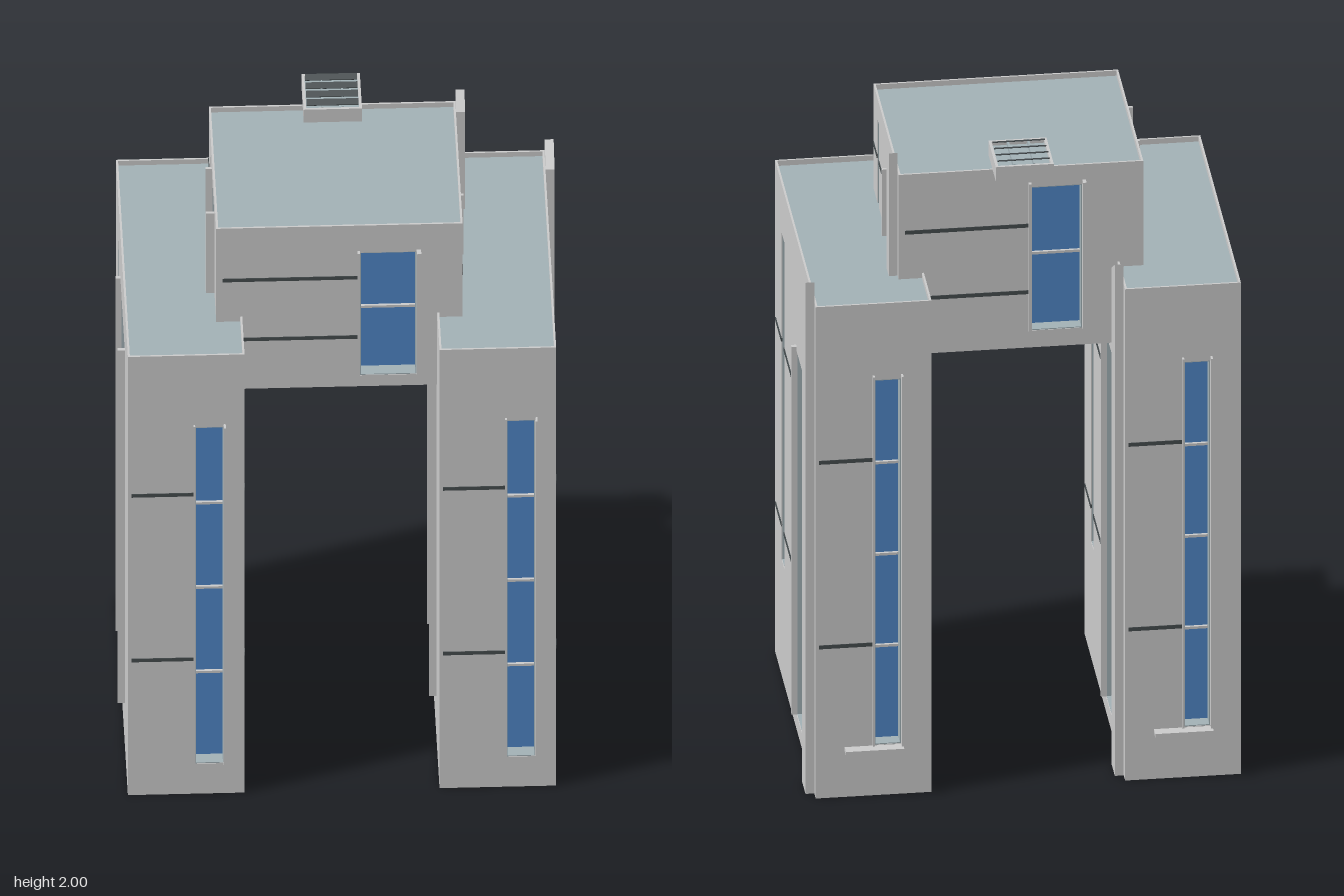
import * as THREE from 'three';

const wallMat = new THREE.MeshStandardMaterial({ color: 0xcccccc });
const roofMat = new THREE.MeshStandardMaterial({ color: 0xa2b1b6 });
const glassMat = new THREE.MeshStandardMaterial({ color: 0x4f86c6 });
const darkMat = new THREE.MeshStandardMaterial({ color: 0x454c4e });
const DEPTH = 0.05; // window recess
const RIM = 0.006; // parapet thickness
const RIM_H = 0.02;

function add(parent, name, geometry, material, x = 0, y = 0, z = 0) {
  const mesh = new THREE.Mesh(geometry, material);
  mesh.name = name;
  mesh.position.set(x, y, z);
  parent.add(mesh);
  return mesh;
}

// Box given by its limits
function block(parent, name, mat, x0, x1, y0, y1, z0, z1) {
  return add(parent, name, new THREE.BoxGeometry(x1 - x0, y1 - y0, z1 - z0), mat,
    (x0 + x1) / 2, (y0 + y1) / 2, (z0 + z1) / 2);
}

const polygon = (pts) => new THREE.Shape(pts.map(([x, y]) => new THREE.Vector2(x, y)));
const rect = (x0, x1, y0, y1) => polygon([[x0, y0], [x1, y0], [x1, y1], [x0, y1]]);
const extrude = (shape, depth) => new THREE.ExtrudeGeometry(shape, { depth, bevelEnabled: false });

// One wall in its own frame: x to the right seen from outside, z = 0 is the outer surface
function makeWall(spec, half, y0, y1) {
  const wall = new THREE.Group();
  const panel = rect(-half, half, y0, y1);
  for (const [a, b, c, d, mullions] of spec.windows) {
    panel.holes.push(rect(a, b, c, d));
    // Recess lining
    const lining = rect(a, b, c, d);
    lining.holes.push(rect(a + 0.003, b - 0.003, c + 0.003, d - 0.003));
    add(wall, 'windowLining', extrude(lining, DEPTH - 0.002), roofMat, 0, 0, -DEPTH);
    block(wall, 'windowGlass', glassMat, a, b, c, d, -DEPTH, -DEPTH + 0.008);
    for (const y of mullions) {
      block(wall, 'windowMullion', wallMat, a, b, y - 0.004, y + 0.004, -DEPTH, -DEPTH + 0.016);
    }
  }
  add(wall, 'wallPanel', extrude(panel, DEPTH), wallMat, 0, 0, -DEPTH);
  // Upright posts beside the windows
  for (const [a, b, c, d, out] of spec.posts) {
    block(wall, 'windowPost', wallMat, a, b, c, d, -0.01, out);
  }
  // Dark joint lines, interrupted by the narrow window
  const [from, to] = spec.joints;
  const gap = spec.windows.find((w) => w[0] > from && w[1] < to);
  const runs = gap ? [[from, gap[0]], [gap[1], to]] : [[from, to]];
  for (const y of spec.jointHeights) {
    for (const [a, b] of runs) block(wall, 'jointLine', darkMat, a, b, y - 0.006, y + 0.006, -0.01, 0.002);
  }
  // Tall fin with a slanted top
  if (spec.fin) {
    const [a, b, low, high] = spec.fin;
    add(wall, 'cornerFin', extrude(polygon([[a, y0], [b, y0], [b, high], [a, low]]), 0.026), wallMat);
  }
  if (spec.ledge) {
    const [a, b, c, d, out] = spec.ledge;
    block(wall, 'windowLedge', wallMat, a, b, c, d, -0.01, out);
  }
  return wall;
}

// Flat-roofed volume with four detailed walls
function makeVolume(name, w, d, y0, y1, walls, jointHeights) {
  const group = new THREE.Group();
  group.name = name;
  const top = y1 - RIM_H;
  block(group, 'core', wallMat, -w / 2 + DEPTH, w / 2 - DEPTH, y0, top, -d / 2 + DEPTH, d / 2 - DEPTH);
  ['front', 'right', 'back', 'left'].forEach((side, i) => {
    const across = i % 2 === 0;
    const wall = makeWall({ ...walls[side], jointHeights }, across ? w / 2 : d / 2 - DEPTH, y0, top);
    wall.name = side + 'Wall';
    wall.rotation.y = i * Math.PI / 2;
    wall.position.set([0, w / 2, 0, -w / 2][i], 0, [d / 2, 0, -d / 2, 0][i]);
    group.add(wall);
  });
  // Roof and parapet
  block(group, 'roof', roofMat, -w / 2 + RIM, w / 2 - RIM, top - 0.002, top + 0.003, -d / 2 + RIM, d / 2 - RIM);
  const ring = rect(-w / 2, w / 2, -d / 2, d / 2);
  ring.holes.push(rect(-w / 2 + RIM, w / 2 - RIM, -d / 2 + RIM, d / 2 - RIM));
  add(group, 'parapet', extrude(ring, RIM_H), wallMat, 0, top, 0).rotation.x = -Math.PI / 2;
  group.children.at(-1).position.y = top;
  return group;
}

const towerWalls = {
  front: {
    windows: [[0.025, 0.11, 0.11, 1.345, [0.42, 0.73, 1.04]]],
    posts: [[0.021, 0.026, 0.11, 1.355, 0.01], [0.109, 0.115, 0.11, 1.355, 0.02]],
    joints: [-0.16, 0.021],
  },
  right: {
    windows: [[-0.316, -0.255, 0.38, 1.45, [0.745, 1.1]], [0.031, 0.358, 0.05, 1.24, [0.355, 0.65, 0.95]]],
    posts: [[0.017, 0.031, 0.05, 1.255, 0.015]],
    joints: [-0.451, 0.017],
    fin: [0.358, 0.438, 1.625, 1.675],
  },
  back: {
    windows: [[0.003, 0.08, 0.165, 1.36, [0.47, 0.77, 1.07]]],
    posts: [[-0.003, 0.003, 0.165, 1.375, 0.012], [0.08, 0.086, 0.165, 1.375, 0.02]],
    joints: [-0.16, -0.003],
    ledge: [-0.085, 0.086, 0.15, 0.163, 0.032],
  },
  left: {
    windows: [[-0.306, -0.25, 0.38, 1.45, [0.745, 1.1]], [-0.1, 0.232, 0.17, 1.445, [0.49, 0.81, 1.12]]],
    posts: [[-0.112, -0.1, 0.165, 1.46, 0.015], [0.232, 0.245, 0.165, 1.46, 0.022]],
    joints: [-0.451, -0.112],
  },
};

const bridgeWalls = {
  front: {
    windows: [[0.06, 0.225, 1.385, 1.835, [1.61]]],
    posts: [[0.052, 0.06, 1.385, 1.842, 0.014], [0.225, 0.238, 1.39, 1.842, 0.022]],
    joints: [-0.34, 0.052],
  },
  right: {
    windows: [[-0.2, -0.162, 1.42, 1.867, [1.675]], [0.013, 0.22, 1.38, 1.8, [1.59]]],
    posts: [[0.003, 0.013, 1.38, 1.81, 0.014]],
    joints: [-0.285, 0.003],
    fin: [0.22, 0.268, 1.95, 1.995],
  },
  back: {
    windows: [[0.03, 0.18, 1.4, 1.87, [1.635]]],
    posts: [[0.022, 0.03, 1.4, 1.885, 0.013], [0.18, 0.19, 1.4, 1.885, 0.021]],
    joints: [-0.34, 0.022],
  },
  left: {
    windows: [[-0.175, -0.13, 1.42, 1.867, [1.675]], [-0.06, 0.143, 1.38, 1.875, [1.63]]],
    posts: [[-0.069, -0.06, 1.38, 1.885, 0.018], [0.143, 0.153, 1.38, 1.885, 0.025]],
    joints: [-0.285, -0.069],
  },
};

// Open box with tilted slats, overhanging the back edge of the roof
function makeVent() {
  const vent = new THREE.Group();
  vent.name = 'roofVent';
  const frame = rect(-0.085, 0.085, -0.085, 0.085);
  frame.holes.push(rect(-0.077, 0.077, -0.077, 0.077));
  const side = add(vent, 'ventFrame', extrude(frame, 0.047), wallMat);
  side.rotation.x = -Math.PI / 2;
  block(vent, 'ventFloor', roofMat, -0.08, 0.08, 0.001, 0.034, -0.08, 0.08);
  for (const x of [-0.03, 0.03]) {
    block(vent, 'slatSupport', roofMat, x - 0.003, x + 0.003, 0.03, 0.049, -0.077, 0.077);
  }
  for (let i = 0; i < 4; i++) {
    const slat = add(vent, 'ventSlat', new THREE.BoxGeometry(0.152, 0.004, 0.02), darkMat,
      0, 0.054, -0.06 + i * 0.04);
    slat.rotation.x = 0.5;
  }
  vent.position.set(-0.006, 1.937, -0.283);
  return vent;
}

export function createModel() {
  const model = new THREE.Group();
  model.name = 'twinTowerBuilding';
  for (const [name, x] of [['rightTower', -0.458], ['leftTower', 0.45]]) {
    const tower = makeVolume(name, 0.34, 0.942, 0, 1.61, towerWalls, [0.495, 1.1]);
    tower.position.set(x, 0, 0.006);
    model.add(tower);
  }
  const bridge = makeVolume('bridge', 0.718, 0.584, 1.345, 1.935, bridgeWalls, [1.527, 1.745]);
  bridge.position.set(-0.005, 0, 0.005);
  model.add(bridge, makeVent());
  return model;
}
